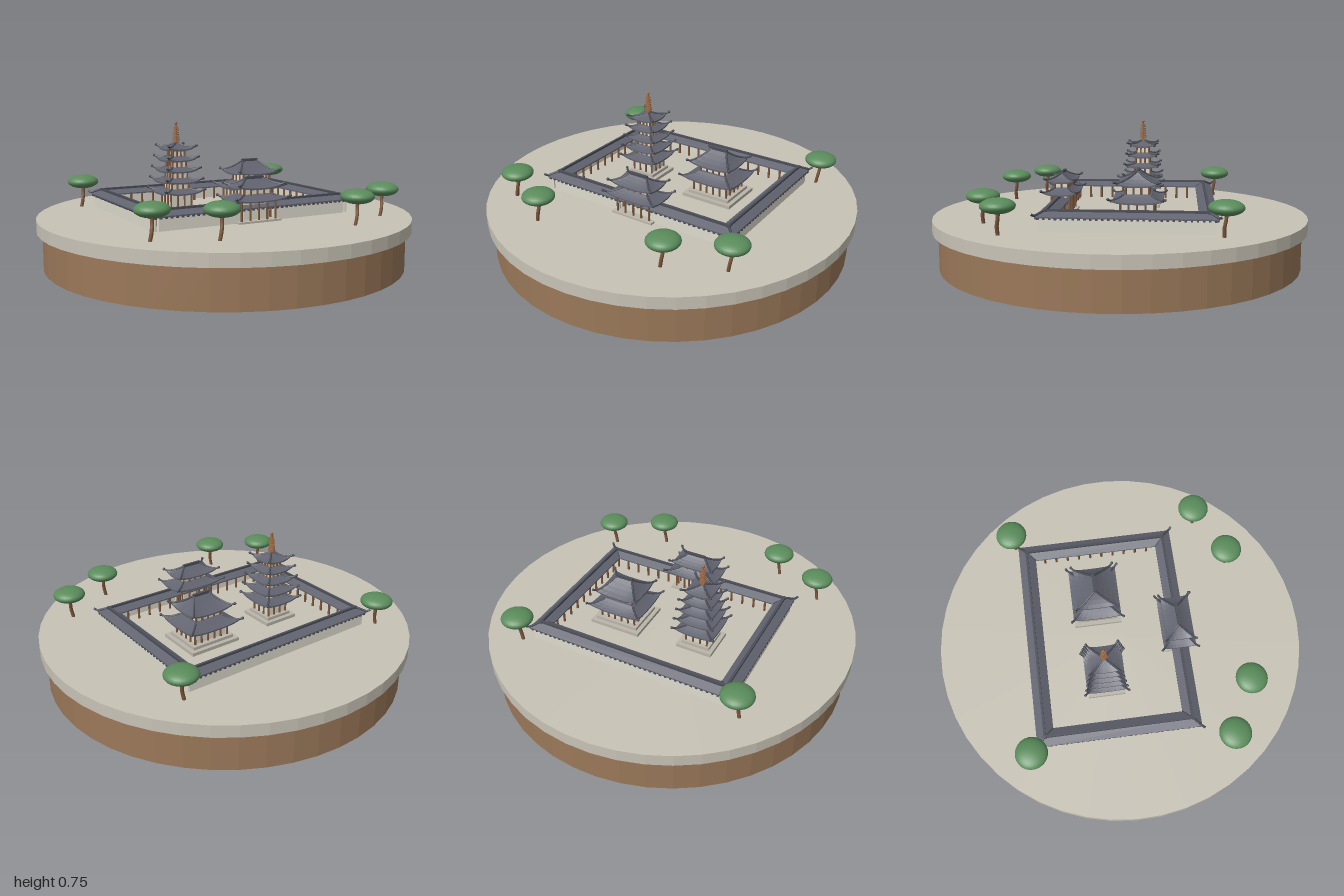
import * as THREE from 'three';

const mat = (name, color) => Object.assign(new THREE.MeshStandardMaterial({ color }), { name });

export function createModel() {
  const earth = mat('earth', 0x9a7859);
  const ground = mat('ground', 0xc8c3b6);
  const plaster = mat('plaster', 0xdedacd);
  const stone = mat('stone', 0xbab6aa);
  const tile = mat('roof tile', 0x61636f);
  const ridgeTile = mat('ridge tile', 0x4b4d58);
  const wood = mat('wood', 0x7e583c);
  const copper = mat('copper', 0x9a6843);
  const leaf = mat('leaf', 0x5a8c5b);

  const add = (parent, name, geo, material, x = 0, y = 0, z = 0) => {
    const m = new THREE.Mesh(geo, material);
    m.name = name;
    m.position.set(x, y, z);
    parent.add(m);
    return m;
  };
  const group = (parent, name, x = 0, y = 0, z = 0) => {
    const g = new THREE.Group();
    g.name = name;
    g.position.set(x, y, z);
    parent.add(g);
    return g;
  };
  // box standing on y
  const box = (p, name, m, w, h, d, x, y, z) => add(p, name, new THREE.BoxGeometry(w, h, d), m, x, y + h / 2, z);
  const post = (p, x, y, z, h, r = 0.007) =>
    add(p, 'column', new THREE.CylinderGeometry(r, r, h, 8), wood, x, y + h / 2, z);

  // Skin over rectangular loops [half width, half depth, y, corner lift]
  const loft = (rows, n) => {
    const corners = [[1, 1], [1, -1], [-1, -1], [-1, 1]];
    const loops = rows.map(([hx, hz, y, lift = 0]) => {
      const pts = [];
      for (let s = 0; s < 4; s++) {
        const [a, b] = [corners[s], corners[(s + 1) % 4]];
        for (let i = 0; i < n; i++) {
          const t = i / n;
          const up = lift * Math.abs(2 * t - 1) ** 3;
          pts.push([hx * (a[0] + (b[0] - a[0]) * t), y + up, hz * (a[1] + (b[1] - a[1]) * t)]);
        }
      }
      return pts;
    });
    const pos = [];
    for (let r = 0; r + 1 < loops.length; r++) {
      for (let j = 0; j < 4 * n; j++) {
        const k = (j + 1) % (4 * n);
        const [a, b, c, d] = [loops[r][j], loops[r][k], loops[r + 1][k], loops[r + 1][j]];
        pos.push(...a, ...b, ...c, ...a, ...c, ...d);
      }
    }
    const g = new THREE.BufferGeometry();
    g.setAttribute('position', new THREE.Float32BufferAttribute(pos, 3));
    g.computeVertexNormals();
    return g;
  };

  const tube = (p, name, m, pts, r) =>
    add(p, name, new THREE.TubeGeometry(new THREE.CatmullRomCurve3(pts.map(v => new THREE.Vector3(...v))), 8, r, 6), m);

  // Curved hip roof: eave half sizes, top half sizes, eave height, rise
  const roof = (parent, name, ex, ez, tx, tz, y, rise) => {
    const g = group(parent, name);
    const lift = 0.014, th = 0.008;
    const row = t => [ex + (tx - ex) * t, ez + (tz - ez) * t, y + th + rise * (0.65 * t + 0.35 * t * t), lift * (1 - t) ** 2];
    const rows = [[ex * 0.4, ez * 0.4, y + 0.006], [ex, ez, y, lift]];
    for (const t of [0, 0.25, 0.5, 0.75, 1]) rows.push(row(t));
    if (tz > 0) rows.push([0, 0, y + th + rise]);
    add(g, 'roof tiles', loft(rows, 8), tile);
    // hip ridges with upturned ends
    for (const sx of [-1, 1]) for (const sz of [-1, 1]) {
      const pts = [1, 0.66, 0.33, 0].map(t => {
        const [hx, hz, h, l] = row(t);
        return [sx * hx, h + l, sz * hz];
      });
      pts.push([sx * (ex + 0.011), y + th + lift + 0.007, sz * (ez + 0.011)]);
      tube(g, 'hip ridge', ridgeTile, pts, 0.0055);
      add(g, 'ridge end', new THREE.SphereGeometry(0.0075, 8, 6), ridgeTile, ...pts[4]);
    }
    if (tz === 0 && tx > 0) box(g, 'main ridge', ridgeTile, tx * 2 + 0.012, 0.014, 0.014, 0, y + th + rise - 0.006, 0);
    return g;
  };

  // Plaster storey framed by timber columns
  const storey = (parent, w, d, y, h, nx, nz, inset = 0) => {
    const g = group(parent, 'storey');
    box(g, 'storey walls', plaster, w - inset, h, d - inset, 0, y, 0);
    box(g, 'head beam', wood, w + 0.006, 0.007, d + 0.006, 0, y + h - 0.007, 0);
    for (let i = 0; i <= nx; i++) for (let j = 0; j <= nz; j++)
      if (i % nx === 0 || j % nz === 0) post(g, (i / nx - 0.5) * w, y, (j / nz - 0.5) * d, h, 0.0055);
  };

  const platform = (parent, w, d, y) => {
    box(parent, 'lower platform', stone, w, 0.018, d, 0, y, 0);
    box(parent, 'upper platform', stone, w - 0.045, 0.016, d - 0.045, 0, y + 0.018, 0);
  };

  const model = new THREE.Group();
  model.name = 'temple island';
  const G = 0.265;

  // Round base
  const disc = (name, r, h, m, y) =>
    add(model, name, new THREE.CylinderGeometry(r, r, h, 48).toNonIndexed(), m, 0, y + h / 2, 0).geometry.computeVertexNormals();
  disc('earth base', 0.97, 0.2, earth, 0);
  disc('ground slab', 1, 0.065, ground, 0.2);

  const compound = group(model, 'compound', 0.028, 0, -0.07);
  compound.rotation.y = -0.349;

  // Covered corridor around the court
  const CX = 0.535, CZ = 0.39, E = 0.333;
  const corridor = group(compound, 'corridor');
  const ring = (o, y) => [CX + o, CZ + o, y];
  add(corridor, 'corridor roof', loft([ring(-0.046, E), ring(0.046, E), ring(0.046, E + 0.007),
    ring(0, E + 0.03), ring(-0.046, E + 0.007), ring(-0.046, E)], 1), tile);
  for (const s of [-1, 1]) {
    box(corridor, 'corridor ridge', ridgeTile, 2 * CX + 0.02, 0.013, 0.013, 0, E + 0.025, s * CZ);
    box(corridor, 'corridor ridge', ridgeTile, 0.013, 0.013, 2 * CZ + 0.02, s * CX, E + 0.025, 0);
    box(corridor, 'side wall', plaster, 0.012, E - G, 2 * CZ + 0.06, s * (CX + 0.026), G, 0);
    // front wall leaves an opening for the gate
    box(corridor, 'front wall', plaster, CX - 0.09, E - G, 0.012, s * (CX + 0.11) / 2, G, CZ + 0.026);
    for (const z of [-1, 1]) {
      const at = (o, y) => [s * (CX + o), y, z * (CZ + o)];
      tube(corridor, 'corner ridge', ridgeTile, [at(0, E + 0.034), at(0.025, E + 0.022), at(0.046, E + 0.013), at(0.06, E + 0.022)], 0.0065);
      tube(corridor, 'valley ridge', ridgeTile, [at(0, E + 0.03), at(-0.025, E + 0.017), at(-0.046, E + 0.008)], 0.004);
    }
  }
  box(corridor, 'back wall', plaster, 2 * CX + 0.06, E - G, 0.012, 0, G, -CZ - 0.026);

  // Inner columns and rafter ends on all four runs
  for (const [len, off, alongX] of [[CX, CZ, true], [CZ, CX, false]]) for (const s of [-1, 1]) {
    const place = (t, o) => (alongX ? [t, s * (off + o)] : [s * (off + o), t]);
    const n = Math.round((2 * len - 0.06) / 0.068);
    for (let i = 0; i <= n; i++) {
      const [x, z] = place((i / n - 0.5) * (2 * len - 0.06), -0.03);
      post(corridor, x, G, z, E - G, 0.0065);
    }
    const k = Math.round((2 * len + 0.06) / 0.028);
    for (let i = 0; i <= k; i++) {
      const [x, z] = place((i / k - 0.5) * (2 * len + 0.06), 0.041);
      box(corridor, 'rafter end', ridgeTile, 0.011, 0.009, 0.011, x, E - 0.007, z);
    }
  }

  // Two-storey gate in the front run
  const gate = group(compound, 'gate', 0, 0, 0.385);
  box(gate, 'gate step', stone, 0.25, 0.01, 0.14, 0, G, 0);
  storey(gate, 0.2, 0.1, G, 0.11, 4, 2, 0.05);
  roof(gate, 'lower gate roof', 0.147, 0.087, 0.08, 0.035, 0.368, 0.03);
  storey(gate, 0.155, 0.07, 0.395, 0.045, 4, 2, 0.006);
  roof(gate, 'upper gate roof', 0.122, 0.072, 0.05, 0, 0.432, 0.046);

  // Main hall
  const hall = group(compound, 'main hall', 0.225, 0, -0.037);
  platform(hall, 0.29, 0.26, G);
  storey(hall, 0.2, 0.17, G + 0.034, 0.075, 5, 4, 0.012);
  roof(hall, 'lower hall roof', 0.148, 0.131, 0.085, 0.07, 0.367, 0.034);
  storey(hall, 0.148, 0.118, 0.4, 0.055, 4, 3, 0.006);
  roof(hall, 'upper hall roof', 0.118, 0.103, 0.044, 0, 0.448, 0.07);

  // Five-storey pagoda
  const pagoda = group(compound, 'pagoda', -0.235, 0, -0.038);
  platform(pagoda, 0.2, 0.2, G);
  storey(pagoda, 0.12, 0.12, G + 0.034, 0.078, 3, 3, 0.006);
  for (let i = 0; i < 5; i++) {
    const y = 0.368 + i * 0.0585, e = 0.105 - i * 0.0085, b = 0.052 - i * 0.005;
    const last = i === 4;
    roof(pagoda, 'pagoda roof', e, e, last ? 0.006 : b, last ? 0.006 : b, y, last ? 0.03 : 0.02);
    if (!last) storey(pagoda, 2 * b - 0.006, 2 * b - 0.006, y + 0.024, 0.037, 3, 3, 0.004);
  }
  box(pagoda, 'spire base', copper, 0.024, 0.014, 0.024, 0, 0.634, 0);
  add(pagoda, 'spire pole', new THREE.CylinderGeometry(0.004, 0.006, 0.115, 8), copper, 0, 0.6975, 0);
  for (let i = 0; i < 8; i++) {
    const r = 0.019 - i * 0.001;
    add(pagoda, 'spire ring', new THREE.CylinderGeometry(r, r, 0.005, 12), copper, 0, 0.658 + i * 0.0098, 0);
  }
  add(pagoda, 'spire jewel', new THREE.SphereGeometry(0.008, 10, 8), copper, 0, 0.747, 0);

  // Pines with leaning trunks
  for (const [x, z] of [[-0.396, -0.717], [0.78, -0.289], [-0.786, 0.262], [-0.572, 0.487], [0.144, 0.749], [0.455, 0.711]]) {
    const tree = group(model, 'tree', x, 0, z);
    tube(tree, 'trunk', wood, [[-0.016, G - 0.005, 0], [-0.008, 0.31, 0.005], [-0.001, 0.35, 0], [0, 0.4, 0]], 0.0095);
    add(tree, 'canopy', new THREE.SphereGeometry(0.085, 24, 16), leaf, 0, 0.407, 0).scale.y = 0.44;
  }
  return model;
}
